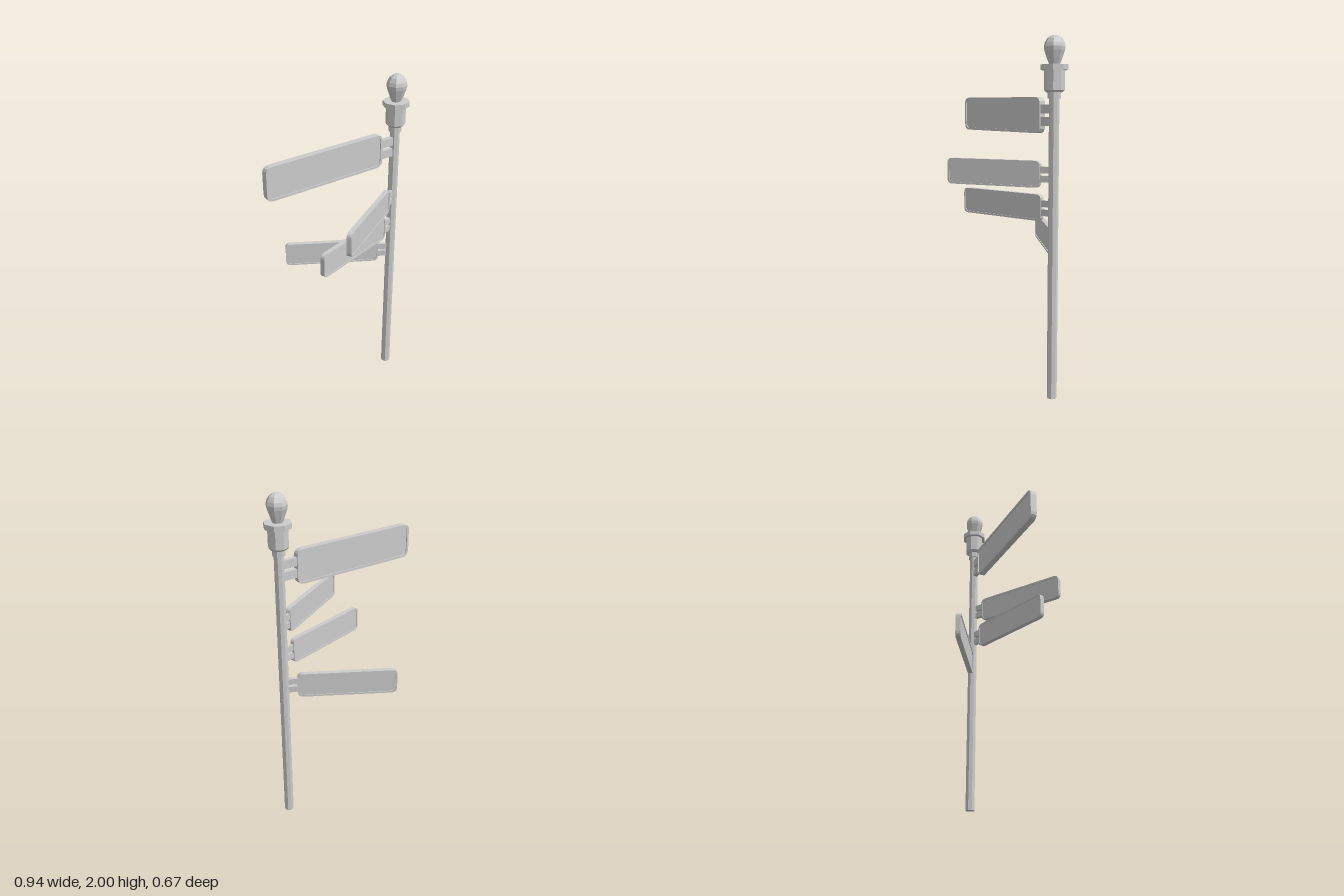
import * as THREE from 'three';

const material = new THREE.MeshStandardMaterial({ color: 0xcccccc, flatShading: true });

function part(name, geometry, parent) {
  const mesh = new THREE.Mesh(geometry, material);
  mesh.name = name;
  parent.add(mesh);
  return mesh;
}

// Rounded rectangle outline between two corners
function roundedRect(path, x0, y0, x1, y1, r) {
  path.moveTo(x0 + r, y0);
  path.lineTo(x1 - r, y0);
  path.quadraticCurveTo(x1, y0, x1, y0 + r);
  path.lineTo(x1, y1 - r);
  path.quadraticCurveTo(x1, y1, x1 - r, y1);
  path.lineTo(x0 + r, y1);
  path.quadraticCurveTo(x0, y1, x0, y1 - r);
  path.lineTo(x0, y0 + r);
  path.quadraticCurveTo(x0, y0, x0 + r, y0);
  return path;
}

function extrudeCentred(shape, depth) {
  return new THREE.ExtrudeGeometry(shape, { depth, bevelEnabled: false, curveSegments: 4 })
    .translate(0, 0, -depth / 2);
}

// Sign pointing along -x from the pole axis
function makeSign(name) {
  const sign = new THREE.Group();
  sign.name = name;
  const near = -0.102, far = -0.863, half = 0.098, rim = 0.013;

  // Raised rim around a shallow recessed panel on both faces
  const frame = roundedRect(new THREE.Shape(), far, -half, near, half, 0.04);
  const inner = [far + rim, -half + rim, near - rim, half - rim, 0.03];
  frame.holes.push(roundedRect(new THREE.Path(), ...inner));
  part('signFrame', extrudeCentred(frame, 0.038), sign);
  part('signPanel', extrudeCentred(roundedRect(new THREE.Shape(), ...inner), 0.026), sign);

  // Two bracket arms between pole and sign
  for (const side of [1, -1]) {
    const arm = part(side > 0 ? 'upperBracket' : 'lowerBracket',
      new THREE.BoxGeometry(0.09, 0.048, 0.026), sign);
    arm.position.set(-0.063, side * 0.033, 0);
  }
  return sign;
}

export function createModel() {
  const model = new THREE.Group();
  model.name = 'signpost';
  const post = new THREE.Group();
  post.name = 'post';
  post.position.x = 0.393;
  model.add(post);

  // Octagonal pole
  part('pole', new THREE.CylinderGeometry(0.028, 0.028, 1.68, 8).translate(0, 0.84, 0), post);

  // Turned cap: collar, body and flange
  const cap = [
    [0, 1.668], [0.036, 1.668], [0.036, 1.702], [0.044, 1.702], [0.056, 1.714],
    [0.056, 1.818], [0.075, 1.818], [0.075, 1.847], [0, 1.847],
  ];
  // Teardrop finial
  const finial = [
    [0.028, 1.845], [0.043, 1.885], [0.055, 1.92], [0.058, 1.94],
    [0.053, 1.96], [0.04, 1.983], [0.02, 1.997], [0, 2],
  ];
  const lathe = (points) =>
    new THREE.LatheGeometry(points.map(([x, y]) => new THREE.Vector2(x, y)), 8);
  part('cap', lathe(cap), post);
  part('finial', lathe(finial), post);

  // Signs: name, height, swing towards the front in degrees, scale
  const signs = [
    ['largeSign', 1.58, 0, 1],
    ['upperSign', 1.262, 30, 0.75],
    ['middleSign', 1.075, 15, 0.75],
    ['lowerSign', 0.885, -30, 0.75],
  ];
  for (const [name, y, angle, scale] of signs) {
    const sign = makeSign(name);
    sign.position.y = y;
    sign.rotation.y = THREE.MathUtils.degToRad(angle);
    sign.scale.setScalar(scale);
    post.add(sign);
  }
  return model;
}
